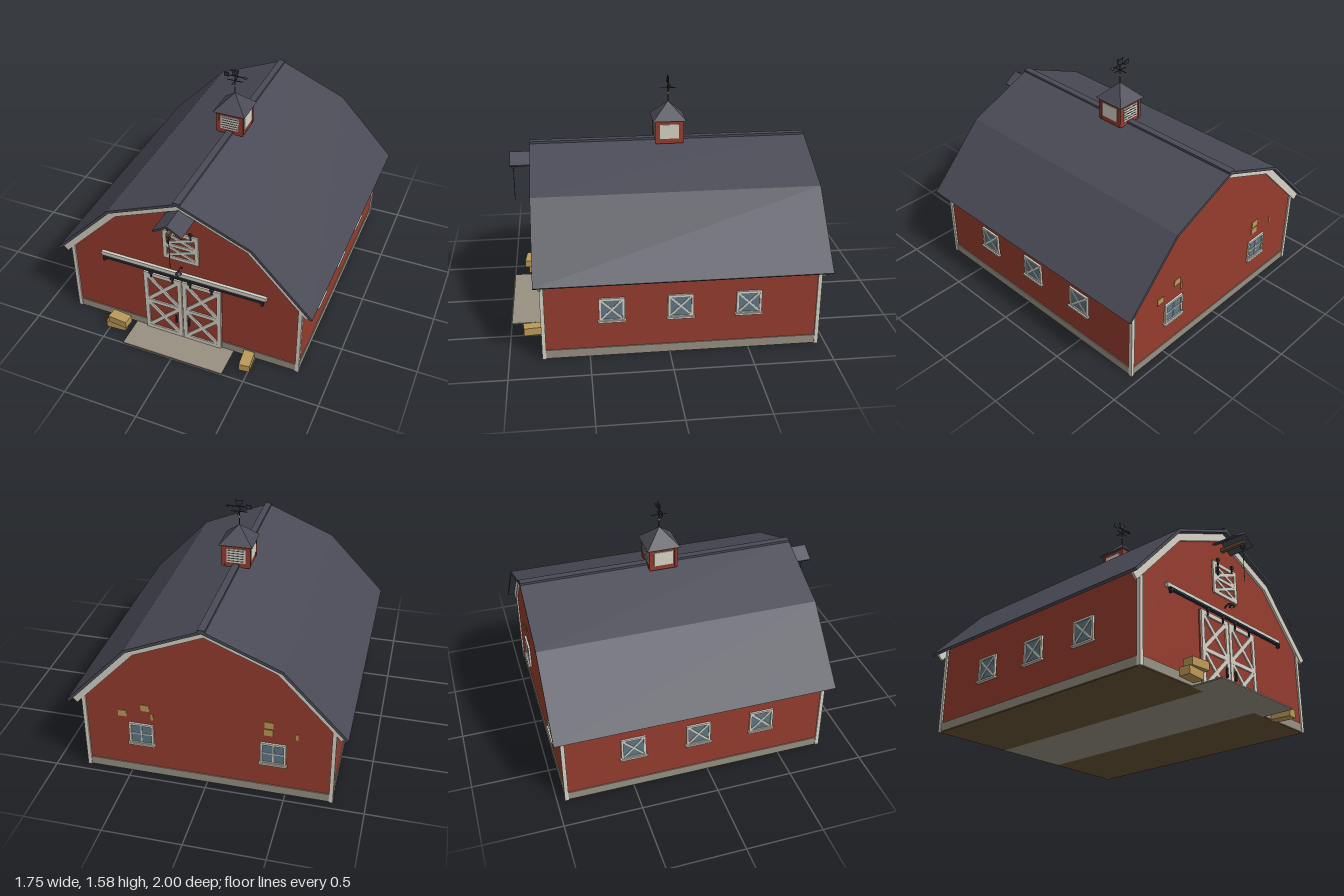
import * as THREE from 'three';

const mat = (name, color) => {
  const m = new THREE.MeshStandardMaterial({ color });
  m.name = name;
  return m;
};

export function createModel() {
  const red = mat('barn red', 0x963c2e), white = mat('trim white', 0xd6d2c6);
  const slate = mat('roof slate', 0x494a55), stone = mat('stone', 0x979082);
  const straw = mat('straw', 0xbd9a58), metal = mat('dark metal', 0x2c2f3a);
  const glass = mat('window glass', 0x5f7786), earth = mat('brown earth', 0x6a5536);
  const brass = mat('brass', 0xa8843c);
  const barn = new THREE.Group();
  barn.name = 'barn';

  const add = (parent, name, geo, m, x = 0, y = 0, z = 0) => {
    const mesh = new THREE.Mesh(geo, m);
    mesh.name = name;
    mesh.position.set(x, y, z);
    parent.add(mesh);
    return mesh;
  };
  const box = (p, name, m, w, h, d, x, y, z) => add(p, name, new THREE.BoxGeometry(w, h, d), m, x, y, z);
  const group = (p, name, x = 0, y = 0, z = 0, ry = 0) => {
    const g = new THREE.Group();
    g.name = name;
    g.position.set(x, y, z);
    g.rotation.y = ry;
    p.add(g);
    return g;
  };
  // straight board between two points in the XY plane
  const bar = (p, name, m, x1, y1, x2, y2, w, t, z) => {
    const b = box(p, name, m, Math.hypot(x2 - x1, y2 - y1), w, t, (x1 + x2) / 2, (y1 + y2) / 2, z);
    b.rotation.z = Math.atan2(y2 - y1, x2 - x1);
  };
  const cross = (p, m, x0, y0, x1, y1, w, t, z) => {
    bar(p, 'crossBrace', m, x0, y0, x1, y1, w, t, z);
    bar(p, 'crossBrace', m, x0, y1, x1, y0, w, t * 0.9, z);
  };
  const frame = (p, m, x0, y0, x1, y1, w, t, z) => {
    for (const y of [y0 + w / 2, y1 - w / 2]) box(p, 'rail', m, x1 - x0, w, t, (x0 + x1) / 2, y, z);
    for (const x of [x0 + w / 2, x1 - w / 2]) box(p, 'stile', m, w, y1 - y0 - 2 * w, t, x, (y0 + y1) / 2, z);
  };
  const extrude = (p, name, m, pts, z0, z1) => add(p, name, new THREE.ExtrudeGeometry(
    new THREE.Shape(pts.map(([x, y]) => new THREE.Vector2(x, y))), { depth: z1 - z0, bevelEnabled: false }), m, 0, 0, z0);

  // gambrel roof line, moved inwards by d; runs from right eave over the ridge to the left eave
  const R = [[0, 1.158], [0.48, 0.955], [0.875, 0.537]];
  const roofLine = (d) => {
    const n = [0, 1].map((i) => {
      const dx = R[i + 1][0] - R[i][0], dy = R[i + 1][1] - R[i][1], l = Math.hypot(dx, dy);
      return [dy / l, -dx / l];
    });
    const k = d / (1 + n[0][0] * n[1][0] + n[0][1] * n[1][1]);
    const apex = [0, R[0][1] + d / n[0][1]];
    const knee = [R[1][0] + k * (n[0][0] + n[1][0]), R[1][1] + k * (n[0][1] + n[1][1])];
    const eave = [R[2][0] + d * n[1][0], R[2][1] + d * n[1][1]];
    return [eave, knee, apex, [-knee[0], knee[1]], [-eave[0], eave[1]]];
  };
  const band = (d0, d1) => [...roofLine(d0), ...roofLine(d1).reverse()];

  // body, foundation and floor
  const F = 0.786, B = -0.942, MID = (F + B) / 2;
  extrude(barn, 'walls', red, [[-0.79, 0.05], [0.79, 0.05], [0.79, 0.598], [0.468, 0.932], [0, 1.134],
    [-0.468, 0.932], [-0.79, 0.598]], B, F);
  box(barn, 'foundation', stone, 1.592, 0.057, F - B + 0.012, 0, 0.0325, MID);
  box(barn, 'aisleFloor', stone, 0.5, 0.008, F - B, 0, 0.004, MID);
  for (const s of [-1, 1]) box(barn, 'earthFloor', earth, 0.54, 0.008, F - B, s * 0.52, 0.004, MID);
  box(barn, 'ramp', stone, 0.705, 0.008, 0.214, 0, 0.004, 0.893);

  // roof, ridge cap, rake boards and corner boards
  extrude(barn, 'roof', slate, band(0, 0.018), -1, 0.832);
  box(barn, 'ridgeCap', slate, 0.046, 0.02, 1.832, 0, 1.153, -0.084);
  extrude(barn, 'frontRakeBoard', white, band(0.018, 0.065), F, F + 0.015);
  extrude(barn, 'backRakeBoard', white, band(0.018, 0.065), B - 0.015, B);
  for (const x of [-0.7875, 0.7875]) for (const z of [F - 0.0025, B + 0.0025]) {
    box(barn, 'cornerBoard', white, 0.025, 0.575, 0.025, x, 0.2885, z);
  }

  // windows: crossed panes on the sides, four panes at the back
  const makeWindow = (x, y, z, ry, diagonal) => {
    const g = group(barn, 'window', x, y, z, ry);
    box(g, 'pane', glass, 0.15, 0.15, 0.006, 0, 0, 0.003);
    frame(g, white, -0.08, -0.078, 0.08, 0.078, 0.014, 0.014, 0.006);
    box(g, 'sill', white, 0.176, 0.012, 0.022, 0, -0.078, 0.011);
    if (diagonal) cross(g, white, -0.07, -0.068, 0.07, 0.068, 0.012, 0.01, 0.005);
    else {
      box(g, 'mullion', white, 0.008, 0.14, 0.01, 0, 0, 0.005);
      box(g, 'mullion', white, 0.14, 0.008, 0.009, 0, 0, 0.005);
    }
  };
  for (const s of [-1, 1]) {
    for (const z of [0.36, -0.067, -0.495]) makeWindow(s * 0.79, 0.326, z, s * Math.PI / 2, true);
    makeWindow(s * 0.42, 0.31, B, Math.PI, false);
  }

  // sliding front doors with track
  for (const s of [-1, 1]) {
    const g = group(barn, 'slidingDoor', s * 0.136, 0, F);
    box(g, 'doorPanel', red, 0.264, 0.5, 0.014, 0, 0.262, 0.007);
    frame(g, white, -0.133, 0.012, 0.133, 0.512, 0.028, 0.01, 0.018);
    box(g, 'midRail', white, 0.21, 0.028, 0.01, 0, 0.262, 0.018);
    cross(g, white, -0.105, 0.04, 0.105, 0.248, 0.026, 0.009, 0.018);
    cross(g, white, -0.105, 0.276, 0.105, 0.484, 0.026, 0.009, 0.018);
    box(g, 'handle', metal, 0.01, 0.06, 0.012, -s * 0.092, 0.17, 0.028);
    for (const x of [-0.075, 0.075]) {
      box(g, 'hanger', metal, 0.01, 0.05, 0.008, x, 0.51, 0.026);
      const wheel = add(g, 'roller', new THREE.CylinderGeometry(0.014, 0.014, 0.01, 12), metal, x, 0.524, 0.03);
      wheel.rotation.x = Math.PI / 2;
    }
    box(barn, 'trackStop', metal, 0.016, 0.03, 0.02, s * 0.545, 0.53, F + 0.022);
  }
  box(barn, 'trackBoard', white, 1.14, 0.028, 0.02, 0, 0.562, F + 0.01);
  box(barn, 'doorTrack', metal, 1.11, 0.014, 0.02, 0, 0.541, F + 0.02);

  // loft door
  const loft = group(barn, 'loftDoor', 0, 0, F);
  box(loft, 'loftPanel', red, 0.23, 0.21, 0.008, 0, 0.79, 0.004);
  frame(loft, white, -0.12, 0.68, 0.12, 0.903, 0.024, 0.01, 0.01);
  box(loft, 'midRail', white, 0.2, 0.022, 0.01, 0, 0.792, 0.01);
  cross(loft, white, -0.097, 0.704, 0.097, 0.781, 0.02, 0.009, 0.01);
  cross(loft, white, -0.097, 0.803, 0.097, 0.879, 0.02, 0.009, 0.01);
  box(loft, 'latch', metal, 0.01, 0.06, 0.012, -0.08, 0.84, 0.02);
  for (const s of [-1, 1]) {
    box(loft, 'strap', metal, 0.008, 0.045, 0.008, s * 0.073, 0.902, 0.018);
    const pin = add(loft, 'strapWheel', new THREE.CylinderGeometry(0.013, 0.013, 0.01, 12), metal, s * 0.073, 0.92, 0.02);
    pin.rotation.x = Math.PI / 2;
  }

  // hay hood with beam, pulley and rope
  const hood = group(barn, 'hayHood');
  extrude(hood, 'hoodRoof', slate, [[-0.097, 1.03], [-0.092, 1.02], [0, 1.076], [0.092, 1.02], [0.097, 1.03], [0, 1.092]], 0.78, 0.965);
  box(hood, 'hoistBeam', earth, 0.022, 0.024, 0.18, 0, 1.02, 0.87);
  const pulley = add(hood, 'pulley', new THREE.CylinderGeometry(0.016, 0.016, 0.012, 14), metal, 0, 0.988, 0.947);
  pulley.rotation.z = Math.PI / 2;
  box(hood, 'pulleyHook', brass, 0.012, 0.02, 0.012, 0, 1.01, 0.947);
  add(hood, 'rope', new THREE.CylinderGeometry(0.002, 0.002, 0.24, 6), metal, 0, 0.868, 0.947);

  // lamp above the doors
  const lamp = group(barn, 'doorLamp', 0, 0.61, F);
  add(lamp, 'lampArm', new THREE.TubeGeometry(new THREE.QuadraticBezierCurve3(new THREE.Vector3(0, 0.005, 0),
    new THREE.Vector3(0, 0.04, 0.03), new THREE.Vector3(0, 0.015, 0.055)), 8, 0.004, 6), metal);
  add(lamp, 'lampShade', new THREE.CylinderGeometry(0.006, 0.022, 0.02, 14), metal, 0, 0.01, 0.055);
  add(lamp, 'lampBulb', new THREE.SphereGeometry(0.009, 10, 8), brass, 0, -0.003, 0.055);

  // straw bales, outside and pressed through the back wall
  const bale = (x, y, z, ry) => { box(barn, 'strawBale', straw, 0.135, 0.052, 0.072, x, y, z).rotation.y = ry; };
  bale(-0.457, 0.027, 0.868, 0.06);
  bale(-0.43, 0.084, 0.882, -0.09);
  bale(0.468, 0.027, 0.852, Math.PI / 2 + 0.1);
  for (const [x, y, w, h] of [[0.54, 0.45, 0.055, 0.045], [0.39, 0.51, 0.055, 0.045], [0.347, 0.45, 0.014, 0.045],
    [-0.39, 0.52, 0.055, 0.045], [-0.39, 0.465, 0.055, 0.045], [-0.564, 0.46, 0.014, 0.04]]) {
    box(barn, 'baleEnd', straw, w, h, 0.02, x, y, B + 0.006);
  }

  // cupola
  const cupola = group(barn, 'cupola', 0, 0, -0.08);
  box(cupola, 'cupolaBody', red, 0.18, 0.16, 0.18, 0, 1.22, 0);
  for (const x of [-0.085, 0.085]) for (const z of [-0.085, 0.085]) {
    box(cupola, 'cupolaPost', red, 0.02, 0.15, 0.02, x, 1.224, z);
  }
  for (let i = 0; i < 4; i++) {
    const side = group(cupola, 'cupolaVent', 0, 0, 0, i * Math.PI / 2);
    box(side, 'ventPanel', white, 0.124, 0.096, 0.006, 0, 1.222, 0.092);
    if (i % 2 === 0) for (let j = 0; j < 5; j++) {
      box(side, 'ventSlot', slate, 0.11, 0.005, 0.003, 0, 1.186 + j * 0.018, 0.095);
    }
  }
  const cap = new THREE.ConeGeometry(0.11 * Math.SQRT2, 0.11, 4, 1).toNonIndexed();
  cap.rotateY(Math.PI / 4);
  cap.computeVertexNormals();
  add(cupola, 'cupolaRoof', cap, slate, 0, 1.35, 0);

  // weathervane
  const vane = group(cupola, 'weathervane');
  add(vane, 'vaneRod', new THREE.CylinderGeometry(0.003, 0.003, 0.16, 8), metal, 0, 1.47, 0);
  add(vane, 'vaneBall', new THREE.SphereGeometry(0.008, 12, 8), brass, 0, 1.456, 0);
  box(vane, 'compassArm', metal, 0.105, 0.004, 0.004, 0, 1.493, 0);
  box(vane, 'compassArm', metal, 0.004, 0.004, 0.105, 0, 1.493, 0);
  box(vane, 'arrowShaft', metal, 0.15, 0.005, 0.005, 0, 1.527, 0);
  box(vane, 'arrowTail', metal, 0.034, 0.028, 0.005, -0.06, 1.529, 0);
  add(vane, 'arrowHead', new THREE.ConeGeometry(0.011, 0.024, 8), metal, 0.08, 1.527, 0).rotation.z = -Math.PI / 2;
  extrude(vane, 'vaneFigure', metal, [[-0.016, 1.534], [0.018, 1.534], [0.026, 1.575], [0.012, 1.568],
    [-0.01, 1.568], [-0.026, 1.574]], -0.003, 0.003);
  return barn;
}
